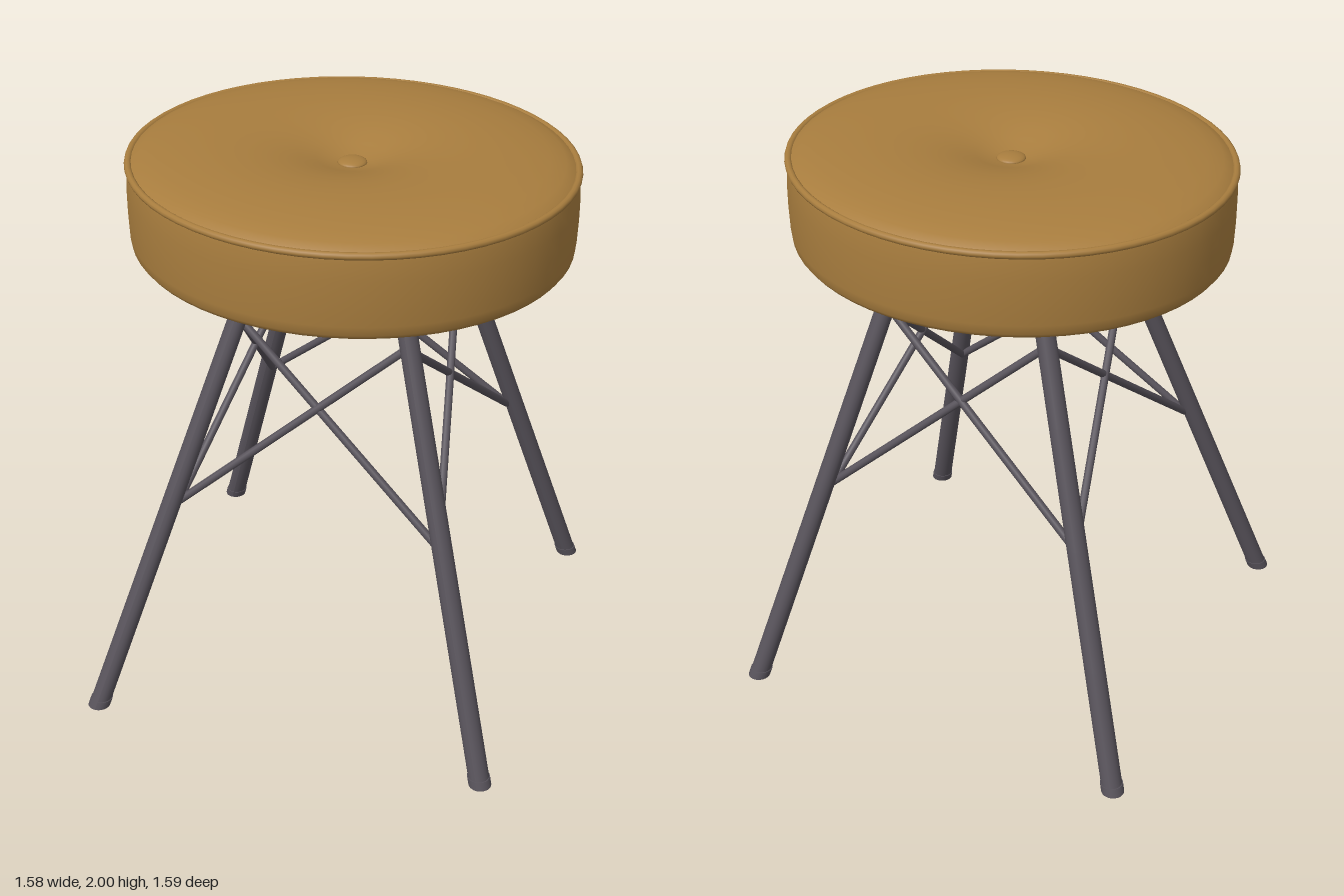
import * as THREE from 'three';

const leather = new THREE.MeshStandardMaterial({ color: 0xa87d3e });
leather.name = 'tan leather';
const metal = new THREE.MeshStandardMaterial({ color: 0x58535b });
metal.name = 'dark metal';

const UP = new THREE.Vector3(0, 1, 0);
const LEG_TOP = 1.61;

// Leg axes in order around the stool: [top x, top z, foot x, foot z]
const LEGS = [
  [0.29, 0.28, 0.735, 0.70],
  [0.275, -0.32, 0.68, -0.755],
  [-0.245, -0.295, -0.75, -0.70],
  [-0.235, 0.285, -0.695, 0.75],
];

function add(parent, name, geometry, material) {
  const mesh = new THREE.Mesh(geometry, material);
  mesh.name = name;
  parent.add(mesh);
  return mesh;
}

// Point on a leg axis at height y, moved inwards by inset
function legPoint([tx, tz, fx, fz], y, inset = 0) {
  const t = y / LEG_TOP;
  const x = fx + (tx - fx) * t;
  const z = fz + (tz - fz) * t;
  const k = 1 - inset / Math.hypot(x, z);
  return new THREE.Vector3(x * k, y, z * k);
}

// Slanted tube whose ends stay level with the floor
function slantedTube(leg, y0, y1, r0, r1) {
  const g = new THREE.CylinderGeometry(r1, r0, y1 - y0, 20, 4);
  g.translate(0, (y0 + y1) / 2, 0);
  const p = g.attributes.position;
  for (let i = 0; i < p.count; i++) {
    const c = legPoint(leg, p.getY(i));
    p.setX(i, p.getX(i) + c.x);
    p.setZ(i, p.getZ(i) + c.z);
  }
  g.computeVertexNormals();
  return g;
}

function rod(a, b, radius) {
  const d = b.clone().sub(a);
  const g = new THREE.CylinderGeometry(radius, radius, d.length(), 12);
  g.applyQuaternion(new THREE.Quaternion().setFromUnitVectors(UP, d.normalize()));
  const m = a.clone().add(b).multiplyScalar(0.5);
  return g.translate(m.x, m.y, m.z);
}

function lathe(points, segments) {
  return new THREE.LatheGeometry(points.map(([x, y]) => new THREE.Vector2(x, y)), segments);
}

export function createModel() {
  const model = new THREE.Group();

  // Slightly oval seat, modelled with unit radius
  const seat = new THREE.Group();
  seat.name = 'seat';
  seat.position.set(0.015, 0, -0.01);
  seat.scale.set(0.77, 1, 0.715);
  model.add(seat);

  add(seat, 'cushionSide', lathe([
    [0, 1.634], [0.6, 1.634], [0.84, 1.637], [0.93, 1.643], [0.972, 1.652],
    [0.988, 1.668], [0.994, 1.7], [0.998, 1.78], [0.998, 1.86], [0.992, 1.92], [0.985, 1.945],
  ], 64), leather);

  // Domed top dipping to the middle
  add(seat, 'cushionTop', lathe([
    [0.985, 1.945], [0.965, 1.957], [0.93, 1.97], [0.86, 1.983], [0.76, 1.993], [0.65, 1.999],
    [0.54, 2], [0.43, 1.996], [0.33, 1.987], [0.24, 1.973], [0.16, 1.956], [0.09, 1.94], [0, 1.93],
  ], 64), leather);

  const piping = add(seat, 'piping', new THREE.TorusGeometry(0.986, 0.017, 10, 64), leather);
  piping.rotation.x = Math.PI / 2;
  piping.scale.z = 0.75;
  piping.position.y = 1.945;

  const button = add(model, 'button', new THREE.SphereGeometry(0.05, 24, 12), leather);
  button.scale.y = 0.3;
  button.position.set(0.015, 1.938, 0.01 - 0.02);

  // Ring under the seat
  const ring = add(model, 'supportRing', new THREE.TorusGeometry(0.403, 0.028, 14, 56), metal);
  ring.rotation.x = Math.PI / 2;
  ring.scale.y = 0.93;
  ring.position.set(0.015, 1.612, -0.01);

  // Legs, feet and crossed braces between neighbouring legs
  LEGS.forEach((leg, i) => {
    const next = LEGS[(i + 1) % 4];
    add(model, 'leg', slantedTube(leg, 0.02, LEG_TOP, 0.037, 0.034), metal);
    add(model, 'foot', slantedTube(leg, 0, 0.03, 0.04, 0.04), metal);
    for (const [upper, lower] of [[leg, next], [next, leg]]) {
      add(model, 'brace', rod(legPoint(upper, 1.44, 0.03), legPoint(lower, 0.79, 0.03), 0.014), metal);
    }
  });

  return model;
}
